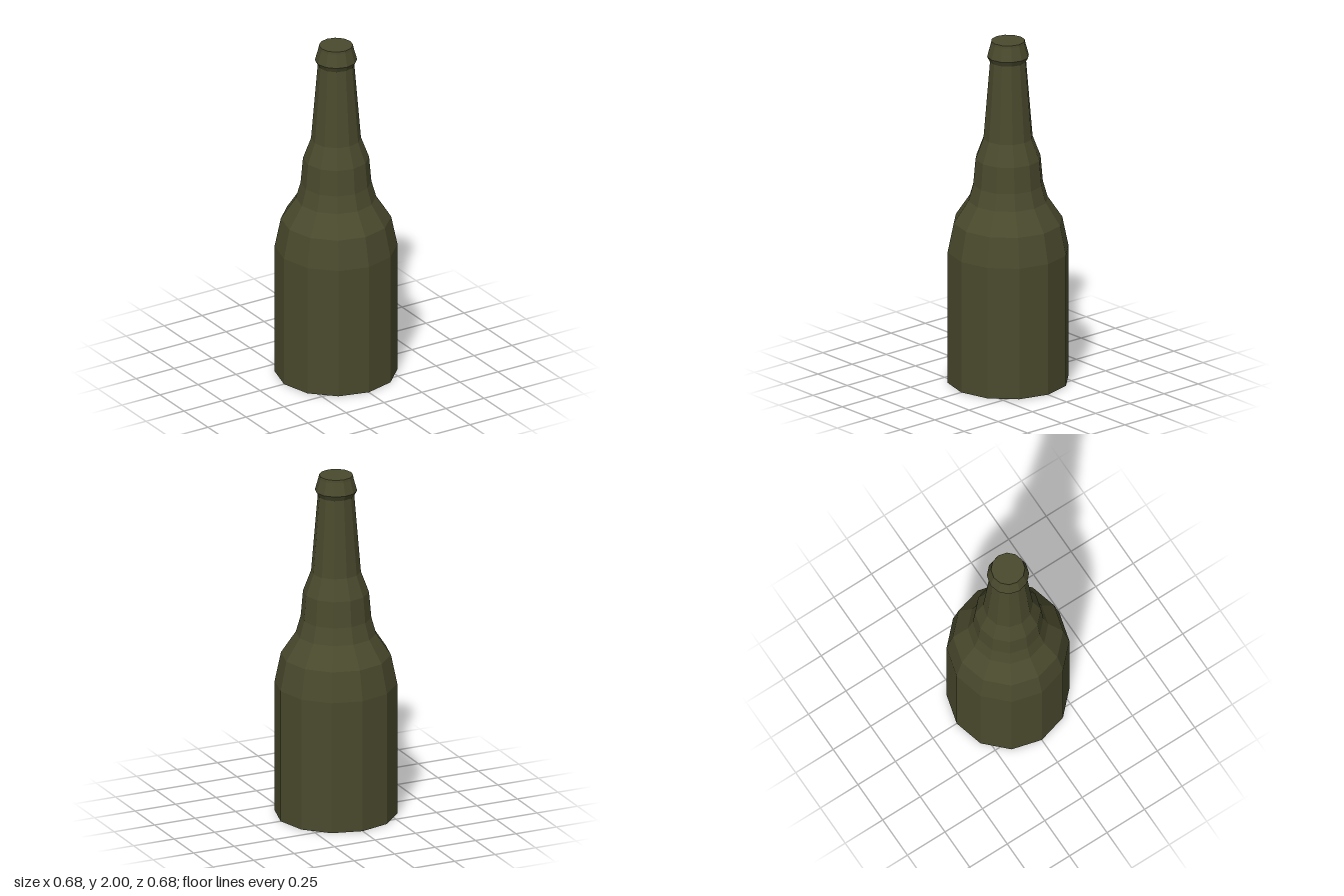
import * as THREE from 'three';

export function createModel() {
  const model = new THREE.Group();
  model.name = 'bottle';

  const glass = new THREE.MeshStandardMaterial({ color: 0x4a4a2e, flatShading: true });
  glass.name = 'olive glass';

  // Twelve-sided turned part from [radius, height] pairs, bottom to top
  const turned = (name, profile) => {
    const points = profile.map(([r, y]) => new THREE.Vector2(r, y));
    const mesh = new THREE.Mesh(new THREE.LatheGeometry(points, 12), glass);
    mesh.name = name;
    model.add(mesh);
  };

  // Closed base and straight wall
  turned('body', [[0, 0], [0.342, 0], [0.342, 0.77]]);

  // Rounded shoulder stepping in to the bulge under the neck
  turned('shoulder', [
    [0.342, 0.77], [0.307, 0.94], [0.224, 1.065],
    [0.197, 1.16], [0.184, 1.31], [0.139, 1.43],
  ]);

  // Long tapering neck
  turned('neck', [[0.139, 1.43], [0.102, 1.88]]);

  // Flared lip with a closed top
  turned('lip', [[0.102, 1.88], [0.118, 1.91], [0.097, 1.985], [0.095, 2], [0, 2]]);

  return model;
}
